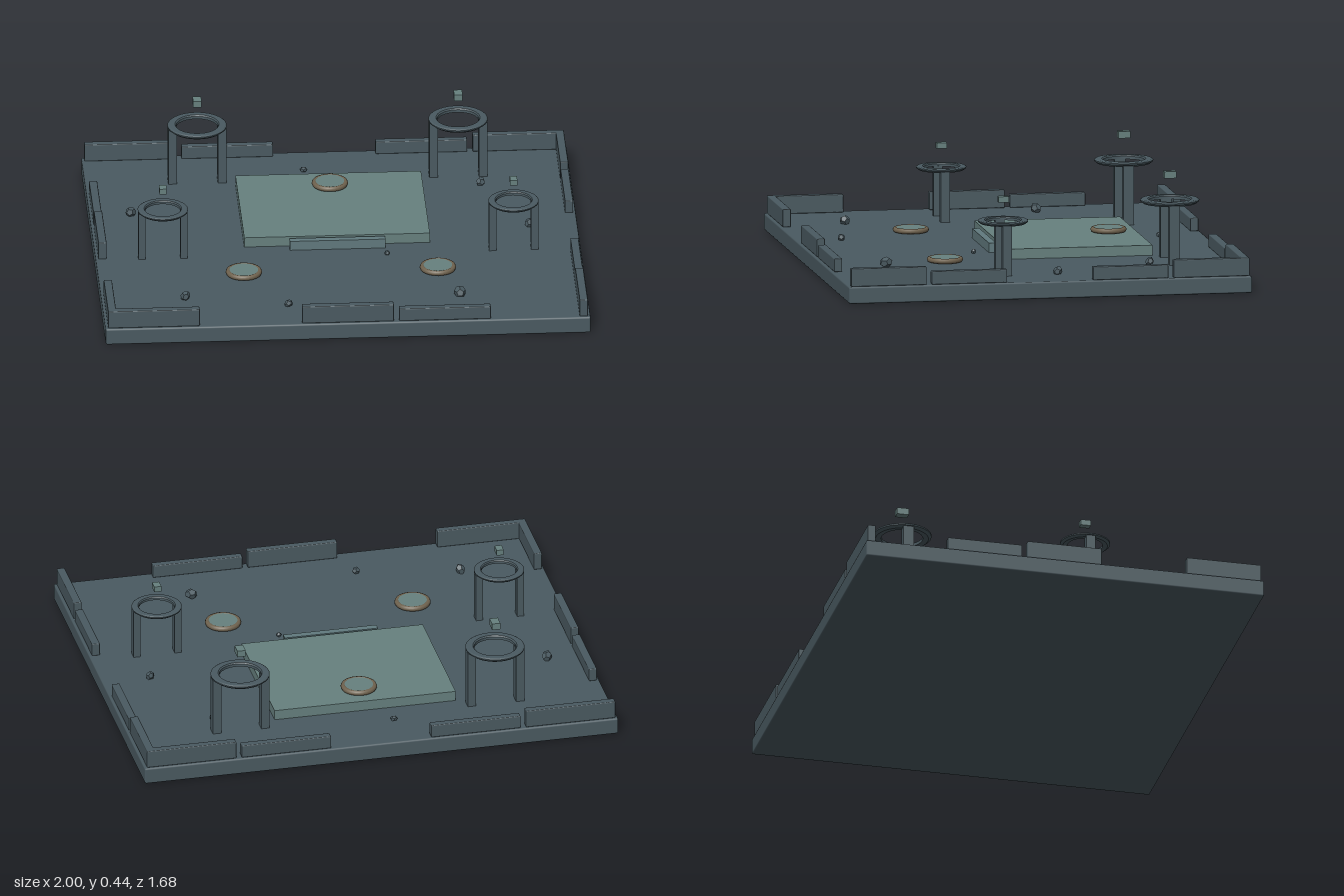
import * as THREE from 'three';
import { RoundedBoxGeometry } from 'three/addons/geometries/RoundedBoxGeometry.js';

const mat = (name, color) => {
  const m = new THREE.MeshStandardMaterial({ color });
  m.name = name;
  return m;
};

export function createModel() {
  const stone = mat('dark slate', 0x4a5a61);
  const pale = mat('pale teal stone', 0x67817f);
  const stepStone = mat('step stone', 0x617a7e);
  const bronze = mat('weathered bronze', 0x70634f);

  const model = new THREE.Group();
  model.name = 'arenaFloor';
  const FLOOR = 0.07;

  const add = (parent, name, geometry, material, x, y, z) => {
    const mesh = new THREE.Mesh(geometry, material);
    mesh.name = name;
    mesh.position.set(x, y, z);
    parent.add(mesh);
    return mesh;
  };
  const slab = (w, h, d, r) => new RoundedBoxGeometry(w, h, d, 1, r);

  // Floor plate
  add(model, 'base', slab(2, FLOOR, 1.685, 0.007), stone, 0, FLOOR / 2, 0);

  // Broken rim walls: five slots per side, some missing, alternating heights
  const wallHeight = (i) => (i % 2 ? 0.055 : 0.075);
  const rimX = (slots, z) => slots.forEach((i) => {
    const h = wallHeight(i);
    add(model, 'rimWall', slab(0.378, h, 0.034, 0.004), stone, (i - 2) * 0.4, FLOOR + h / 2, z);
  });
  const rimZ = (slots, x) => slots.forEach((i) => {
    const h = wallHeight(i);
    add(model, 'rimWall', slab(0.034, h, 0.315, 0.004), stone, x, FLOOR + h / 2, (i - 2) * 0.337);
  });
  rimX([0, 2, 3], 0.815);
  rimX([0, 1, 3, 4], -0.817);
  rimZ([1, 2, 4], -0.972);
  rimZ([0, 1, 3, 4], 0.972);

  // Raised platform with a narrow step in front
  add(model, 'platform', new THREE.BoxGeometry(0.765, 0.042, 0.608), pale, 0, 0.091, -0.232);
  add(model, 'step', new THREE.BoxGeometry(0.394, 0.04, 0.03), stepStone, 0, 0.09, 0.1);

  // Round floor pads with bronze rims
  const padRim = new THREE.TorusGeometry(0.064, 0.011, 8, 32).rotateX(Math.PI / 2);
  const padTop = new THREE.CylinderGeometry(0.063, 0.063, 0.02, 32);
  [[0, 0.112, -0.42], [-0.4, FLOOR, 0.335], [0.4, FLOOR, 0.335]].forEach(([x, y, z]) => {
    const pad = new THREE.Group();
    pad.name = 'floorPad';
    pad.position.set(x, y, z);
    add(pad, 'padRim', padRim, bronze, 0, 0.011, 0);
    add(pad, 'padTop', padTop, pale, 0, 0.01, 0);
    model.add(pad);
  });

  // Ring stands: two posts, a flat ring and a floating block
  const ringProfile = [
    [0.086, 0.243], [0.109, 0.241], [0.121, 0.25], [0.122, 0.256],
    [0.116, 0.26], [0.091, 0.26], [0.086, 0.255], [0.086, 0.243],
  ].map(([r, y]) => new THREE.Vector2(r, y));
  // One lathe per profile edge keeps the rim edges crisp
  const ringBands = ringProfile.slice(1).map((p, i) =>
    new THREE.LatheGeometry([ringProfile[i], p], 40));
  const post = new THREE.BoxGeometry(0.035, 0.246, 0.045);
  const block = new THREE.BoxGeometry(0.035, 0.028, 0.05);
  const ringStand = (x, z, s) => {
    const stand = new THREE.Group();
    stand.name = 'ringStand';
    stand.position.set(x, FLOOR, z);
    stand.scale.setScalar(s);
    ringBands.forEach((g) => add(stand, 'ring', g, stone, 0, 0, 0));
    [-1, 1].forEach((side) => add(stand, 'post', post, stone, side * 0.102, 0.123, 0));
    add(stand, 'floatingBlock', block, pale, 0, 0.36, 0);
    model.add(stand);
  };
  [-1, 1].forEach((side) => {
    ringStand(side * 0.538, -0.58, 1);
    ringStand(side * 0.723, 0.15, 0.85);
  });

  // Scattered rubble: x, z, size
  const rock = new THREE.DodecahedronGeometry(1, 0);
  [
    [-0.095, -0.65, 0.015], [0.625, -0.48, 0.021], [-0.83, -0.265, 0.025], [0.8, -0.065, 0.021],
    [0.2, 0.18, 0.012], [-0.655, 0.565, 0.024], [0.475, 0.595, 0.028], [-0.235, 0.655, 0.018],
  ].forEach(([x, z, s], i) => {
    const r = add(model, 'rubble', rock, stone, x, FLOOR + s * 0.6, z);
    r.scale.set(s, s * 0.8, s * 0.9);
    r.rotation.set(i * 0.7, i * 1.3, i * 0.4);
  });

  return model;
}
